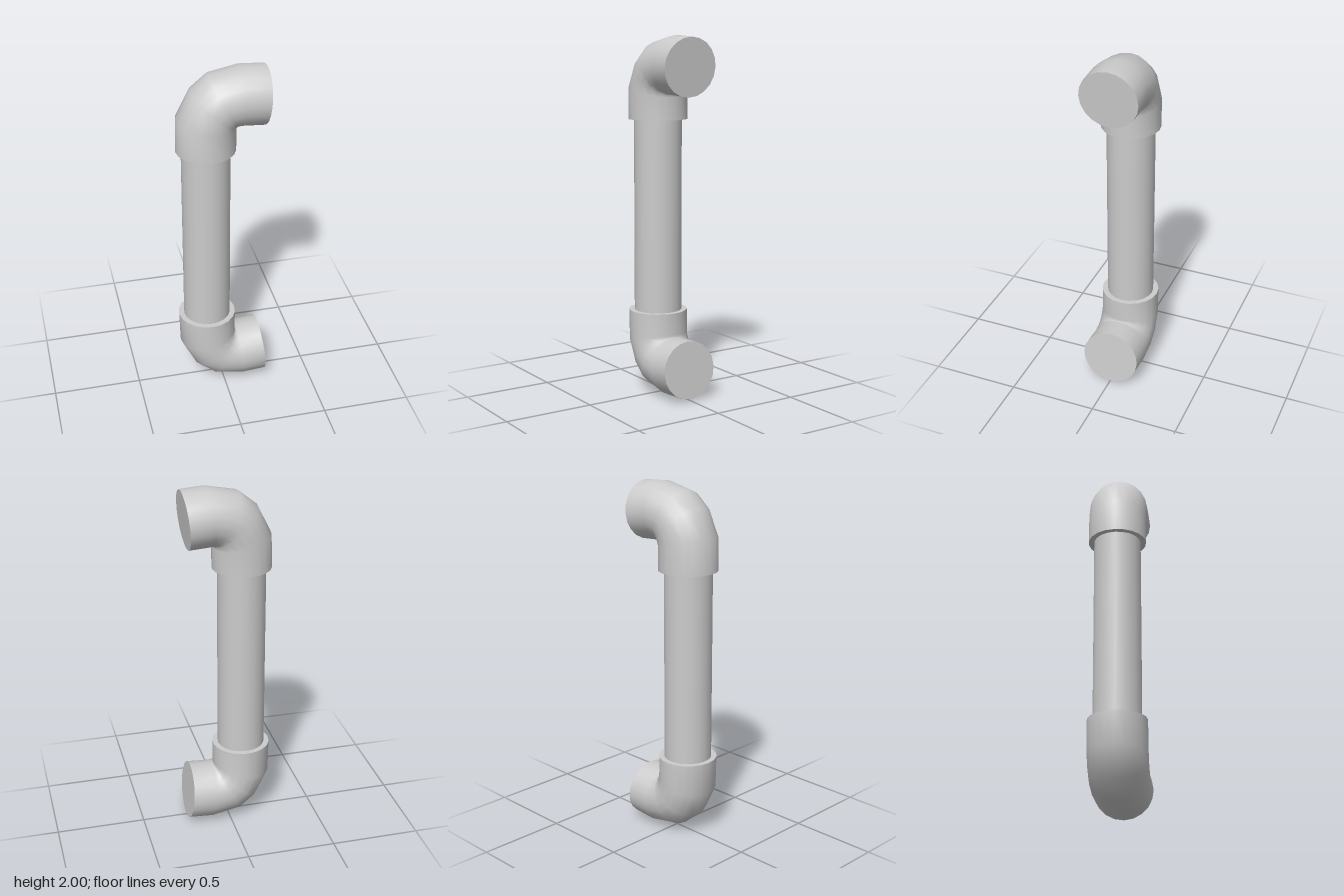
import * as THREE from 'three';

const SIDES = 20;
const AXIS_X = -0.084;
const HEIGHT = 2.003;

// Each elbow ring: [outer x, outer y, inner x, inner y]
const RINGS = [
  [-0.247, 1.54, 0.079, 1.54],
  [-0.242, 1.73, 0.079, 1.664],
  [-0.165, 1.885, 0.079, 1.674],
  [-0.068, 1.965, 0.081, 1.677],
  [0.11, 2.0, 0.087, 1.677],
  [0.245, 1.99, 0.217, 1.668],
];

// Points of one circular section standing in the plane of the bend
function ringPoints([ox, oy, ix, iy]) {
  const points = [];
  for (let j = 0; j < SIDES; j++) {
    const a = (j / SIDES) * Math.PI * 2;
    const c = Math.cos(a) / 2;
    points.push((ox + ix) / 2 + (ox - ix) * c, (oy + iy) / 2 + (oy - iy) * c, 0.164 * Math.sin(a));
  }
  return points;
}

function indexedGeometry(positions, index) {
  const geometry = new THREE.BufferGeometry();
  geometry.setAttribute('position', new THREE.Float32BufferAttribute(positions, 3));
  geometry.setIndex(index);
  geometry.computeVertexNormals();
  return geometry;
}

// Smooth skin through all the rings
function bendGeometry() {
  const index = [];
  for (let i = 0; i < RINGS.length - 1; i++) {
    for (let j = 0; j < SIDES; j++) {
      const k = (j + 1) % SIDES;
      const a = i * SIDES + j, b = i * SIDES + k;
      index.push(a, b, a + SIDES, b, b + SIDES, a + SIDES);
    }
  }
  return indexedGeometry(RINGS.flatMap(ringPoints), index);
}

// Flat disc closing one ring
function capGeometry(ring, flip) {
  const [ox, oy, ix, iy] = ring;
  const positions = [...ringPoints(ring), (ox + ix) / 2, (oy + iy) / 2, 0];
  const index = [];
  for (let j = 0; j < SIDES; j++) {
    const k = (j + 1) % SIDES;
    index.push(SIDES, flip ? k : j, flip ? j : k);
  }
  return indexedGeometry(positions, index);
}

export function createModel() {
  const group = new THREE.Group();
  group.name = 'pipeHandle';
  const material = new THREE.MeshStandardMaterial({ color: 0xcccccc });

  const add = (parent, name, geometry) => {
    const mesh = new THREE.Mesh(geometry, material);
    mesh.name = name;
    parent.add(mesh);
    return mesh;
  };

  // Straight pipe, running a little way into both sockets
  const pipe = add(group, 'pipe', new THREE.CylinderGeometry(0.133, 0.133, 1.14, SIDES));
  pipe.rotation.y = Math.PI / 2;
  pipe.position.set(AXIS_X, HEIGHT / 2, 0);

  // Matching elbows; the lower one is the upper one turned over
  const bend = bendGeometry();
  const rim = capGeometry(RINGS[0], true);
  const end = capGeometry(RINGS[RINGS.length - 1], false);
  for (const name of ['upperElbow', 'lowerElbow']) {
    const elbow = new THREE.Group();
    elbow.name = name;
    add(elbow, 'bend', bend);
    add(elbow, 'socketRim', rim);
    add(elbow, 'endFace', end);
    if (name === 'lowerElbow') {
      elbow.rotation.x = Math.PI;
      elbow.position.y = HEIGHT;
    }
    group.add(elbow);
  }
  return group;
}
